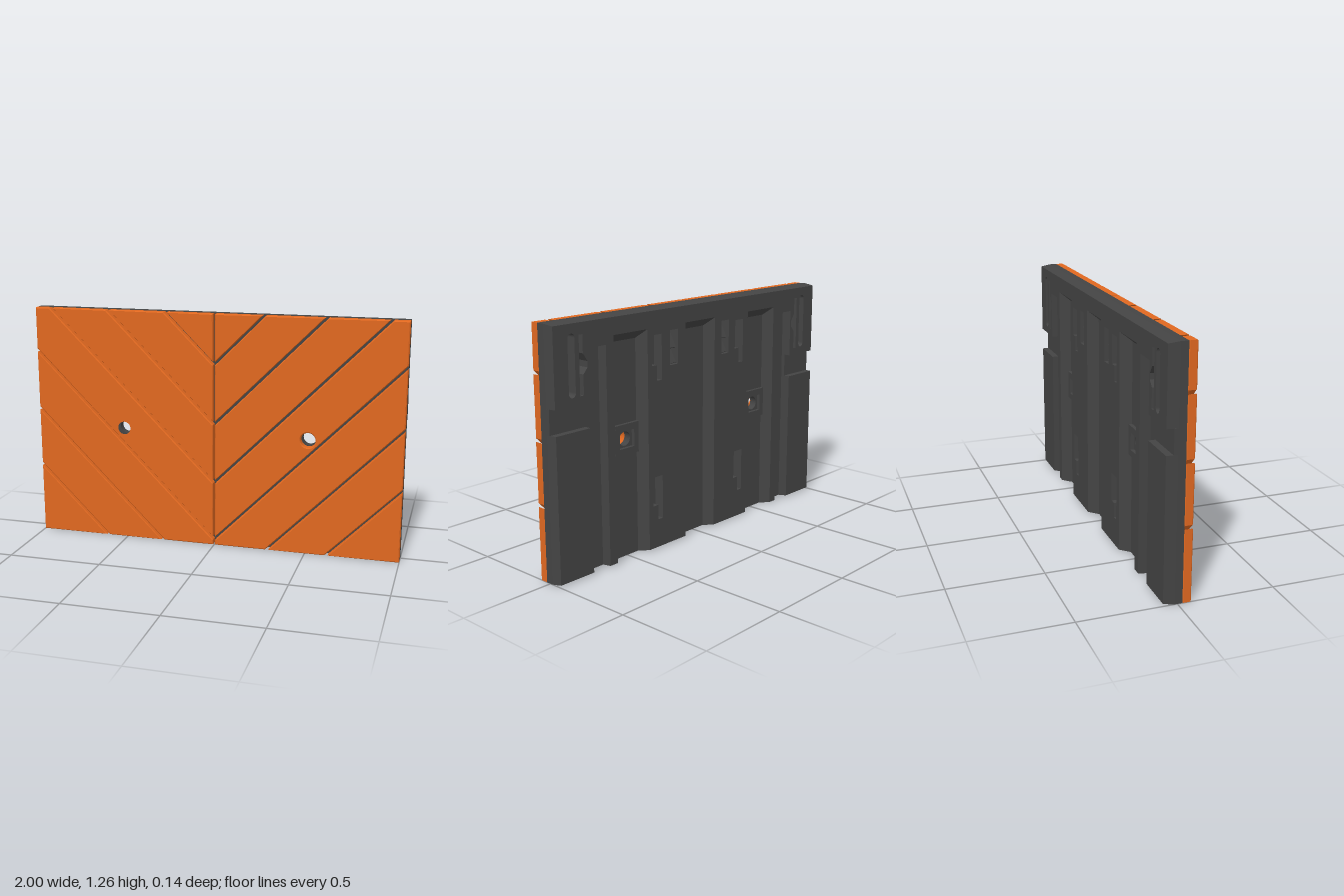
import * as THREE from 'three';

const H = 1.265, BACK = -0.07, FLOOR = -0.015, FRONT = 0.025;
const HOLE_X = 0.505, HOLE_Y = 0.625;
const orange = new THREE.MeshStandardMaterial({ color: 0xe06820 });
const dark = new THREE.MeshStandardMaterial({ color: 0x444444 });

const shapeOf = (pts, s = 1) => new THREE.Shape(pts.map(([x, y]) => new THREE.Vector2(x * s, y)));
const rect = (x0, y0, x1, y1) => [[x0, y0], [x1, y0], [x1, y1], [x0, y1]];
const circle = (x, y, r) => new THREE.Path().absarc(x, y, r, 0, Math.PI * 2, true);

function add(group, name, geometry, material, z = 0) {
  const mesh = new THREE.Mesh(geometry, material);
  mesh.name = name;
  mesh.position.z = z;
  group.add(mesh);
  return mesh;
}

// Keep the part of a polygon where f(x, y) >= 0
function clip(poly, f) {
  const out = [];
  poly.forEach((a, i) => {
    const b = poly[(i + 1) % poly.length], fa = f(...a), fb = f(...b);
    if (fa >= 0) out.push(a);
    if (fa * fb < 0) {
      const t = fa / (fa - fb);
      out.push([a[0] + t * (b[0] - a[0]), a[1] + t * (b[1] - a[1])]);
    }
  });
  return out;
}

// Diagonal planks of the front face, separated by narrow gaps
function addPlanks(group) {
  const cuts = [-1.2, -0.615, -0.293, 0.031, 0.353, 0.677, 0.999, 1.5];
  const gap = 0.009, bevel = 0.005;
  for (const s of [1, -1]) {
    for (let i = 0; i < cuts.length - 1; i++) {
      const lo = cuts[i] + gap, hi = cuts[i + 1] - gap;
      let poly = clip(rect(0.006, 0, 1, H), (x, y) => y - x - lo);
      poly = clip(poly, (x, y) => hi - y + x);
      const shape = shapeOf(poly, s);
      const c = HOLE_Y - HOLE_X;
      if (c > lo && c < hi) shape.holes.push(circle(s * HOLE_X, HOLE_Y, 0.04));
      const geo = new THREE.ExtrudeGeometry(shape, {
        depth: 0.045 - 2 * bevel, bevelEnabled: true, bevelSegments: 1,
        bevelSize: bevel, bevelThickness: bevel, bevelOffset: -bevel, curveSegments: 16,
      });
      add(group, 'plank', geo, orange, FRONT + bevel);
    }
  }
}

// Solid plate between the planks and the ribbed back
function addPlate(group) {
  const shape = shapeOf(rect(-1, 0, 1, H));
  for (const s of [1, -1]) shape.holes.push(circle(s * HOLE_X, HOLE_Y, 0.037));
  add(group, 'corePlate', new THREE.ExtrudeGeometry(shape, {
    depth: FRONT - FLOOR, bevelEnabled: false, curveSegments: 16,
  }), dark, FLOOR);
}

// Ribbed back layer: channels are cut in the outline, slots are holes
function addBack(group) {
  const half = [
    [0.115, 1.17], [0.115, 0], [0.39, 0], [0.39, 1.17], [0.62, 1.17], [0.62, 0],
    [0.67, 0], [0.67, 1.13], [0.78, 1.13], [0.78, 0.87], [1, 0.87], [1, H],
  ];
  const mirrored = half.map(([x, y]) => [-x, y]).reverse();
  const main = shapeOf([...half, ...mirrored]);
  const cut = (pts, s = 1) => main.holes.push(shapeOf(pts, s));

  for (const s of [1, -1]) {
    // Long rounded slot
    const slot = new THREE.Path();
    slot.absarc(s * 0.885, 1.19, 0.021, 0, Math.PI, false);
    slot.absarc(s * 0.885, 0.93, 0.021, Math.PI, Math.PI * 2, false);
    main.holes.push(slot);
    // Thin slot with a pointed kink
    cut([[0.838, 0.91], [0.838, 1.2], [0.815, 1.2], [0.815, 1.11], [0.788, 1.07],
      [0.788, 1.04], [0.815, 1.01], [0.815, 0.91]], s);
    cut(rect(0.17, 0.965, 0.23, 1.145), s);
  }
  // Stepped hook pockets
  for (const x of [0.29, -0.35]) for (const y of [0.9, 0.16]) {
    cut([[x, y], [x + 0.035, y], [x + 0.035, y + 0.08], [x + 0.07, y + 0.08],
      [x + 0.07, y + 0.235], [x, y + 0.235]]);
  }
  const panels = [1, -1].map((s) => shapeOf(rect(0.78, 0, 1, 0.745), s));

  const geo = new THREE.ExtrudeGeometry([main, ...panels], {
    depth: FLOOR - BACK, bevelEnabled: false, curveSegments: 8,
  });
  // Slope the walls of the wide channels and chamfer the outer back edges
  const p = geo.attributes.position;
  for (let i = 0; i < p.count; i++) {
    let x = p.getX(i), y = p.getY(i);
    if (p.getZ(i) > 0.01) {
      for (const c of [-HOLE_X, 0, HOLE_X]) {
        if (Math.abs(x - c) < 0.12 && y < 1.18) {
          x = c + (x - c) * 0.72;
          if (y > 1.1) y = 1.125;
        }
      }
    } else {
      x = THREE.MathUtils.clamp(x, -0.992, 0.992);
      y = THREE.MathUtils.clamp(y, 0.008, H - 0.008);
    }
    p.setXY(i, x, y);
  }
  geo.computeVertexNormals();
  add(group, 'ribbedBack', geo, dark, BACK);
}

// Side notch floors, hole bosses and pocket ramps
function addDetails(group) {
  for (const s of [1, -1]) {
    const notch = add(group, 'notchFloor', new THREE.BoxGeometry(0.22, 0.125, 0.02), dark, -0.025);
    notch.position.set(s * 0.89, 0.8075, -0.025);

    const boss = shapeOf(rect(-0.08, -0.08, 0.08, 0.08));
    boss.holes.push(shapeOf(rect(-0.05, -0.045, 0.05, 0.045)));
    const frame = add(group, 'holeBoss', new THREE.ExtrudeGeometry(boss, {
      depth: 0.018, bevelEnabled: false,
    }), dark);
    frame.position.set(s * HOLE_X, HOLE_Y, FLOOR - 0.018);

    for (const y of [0.985, 1.065]) {
      const ramp = add(group, 'pocketRamp', new THREE.BoxGeometry(0.06, 0.075, 0.012), dark);
      ramp.position.set(s * 0.2, y + 0.015, -0.03);
      ramp.rotation.x = 0.5;
    }
  }
}

export function createModel() {
  const group = new THREE.Group();
  group.name = 'chevronPanel';
  addPlanks(group);
  addPlate(group);
  addBack(group);
  addDetails(group);
  return group;
}
